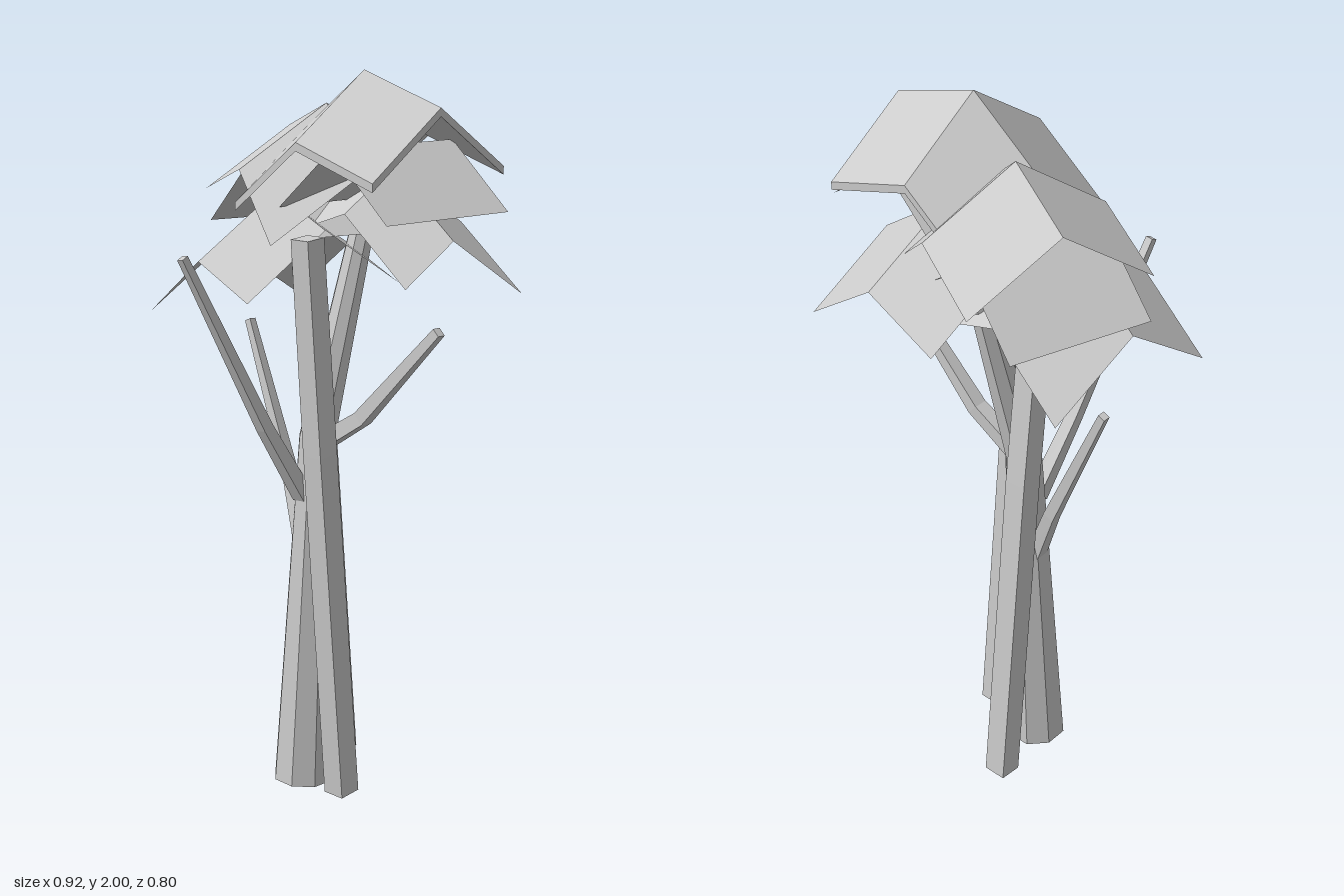
import * as THREE from 'three';

const material = new THREE.MeshStandardMaterial({ color: 0xcccccc, flatShading: true, side: THREE.DoubleSide });

function meshFrom(name, positions) {
  const geo = new THREE.BufferGeometry();
  geo.setAttribute('position', new THREE.Float32BufferAttribute(positions, 3));
  geo.computeVertexNormals();
  const mesh = new THREE.Mesh(geo, material);
  mesh.name = name;
  return mesh;
}

// pushes the quad a-b-c-d (counter-clockwise from outside)
function quad(out, a, b, c, d) {
  for (const p of [a, b, c, a, c, d]) out.push(p.x, p.y, p.z);
}

// tapered, bent prism; path points are [x, y, z, radius]
function limb(name, sides, path) {
  const up = new THREE.Vector3(0, 1, 0);
  const pts = path.map(p => new THREE.Vector3(p[0], p[1], p[2]));
  const rings = pts.map((p, i) => {
    const dir = pts[Math.min(i + 1, pts.length - 1)].clone().sub(pts[Math.max(i - 1, 0)]).normalize();
    const q = new THREE.Quaternion().setFromUnitVectors(up, dir);
    return Array.from({ length: sides }, (_, k) => {
      const a = (k + 0.5) / sides * Math.PI * 2;
      return new THREE.Vector3(Math.sin(a), 0, Math.cos(a)).multiplyScalar(path[i][3]).applyQuaternion(q).add(p);
    });
  });
  const out = [], last = rings.length - 1;
  for (let k = 0; k < sides; k++) {
    const n = (k + 1) % sides;
    for (let i = 0; i < last; i++) quad(out, rings[i][k], rings[i][n], rings[i + 1][n], rings[i + 1][k]);
    for (const p of [pts[0], rings[0][n], rings[0][k], pts[last], rings[last][k], rings[last][n]]) out.push(p.x, p.y, p.z);
  }
  return meshFrom(name, out);
}

// folded roof-like leaf: a ridge bent at its peak, with an eave on both sides
function leaf(name, { peak, yaw, left, right, half, drop, front = 1, thick = 0 }) {
  const c = Math.cos(yaw), s = Math.sin(yaw);
  const point = (u, y, v) => new THREE.Vector3(peak[0] + u * c - v * s, peak[1] + y, peak[2] + u * s + v * c);
  const along = [[-left[0], -left[1]], [0, 0], [right[0], -right[1]]];
  const layer = dy => [-1, 0, front].map(f => along.map(([u, y]) => point(u, y - drop * Math.abs(f) + dy, half * f)));
  const top = layer(0), out = [];
  const grid = (g, flip) => {
    for (let r = 0; r < 2; r++) for (let k = 0; k < 2; k++) {
      const q = [g[r][k], g[r + 1][k], g[r + 1][k + 1], g[r][k + 1]];
      quad(out, ...(flip ? q.reverse() : q));
    }
  };
  grid(top, false);
  if (thick) {
    const low = layer(-thick);
    grid(low, true);
    const rim = g => [g[0][0], g[1][0], g[2][0], g[2][1], g[2][2], g[1][2], g[0][2], g[0][1]];
    const a = rim(top), b = rim(low);
    a.forEach((p, i) => quad(out, p, b[i], b[(i + 1) % 8], a[(i + 1) % 8]));
  }
  return meshFrom(name, out);
}

export function createModel() {
  const tree = new THREE.Group();
  tree.name = 'tree';

  // main trunk and the two slim square trunks
  tree.add(
    limb('mainTrunk', 8, [[-0.1, 0.003, 0.03, 0.085], [-0.07, 1.0, 0.0, 0.052], [-0.03, 1.58, -0.14, 0.034]]),
    limb('frontTrunk', 4, [[0.066, 0.013, 0.045, 0.047], [0.063, 1.0, 0.125, 0.045], [0.058, 1.58, 0.165, 0.043]]),
    limb('backTrunk', 4, [[-0.15, 0.013, -0.178, 0.047], [-0.155, 1.0, -0.1, 0.045], [-0.158, 1.57, -0.045, 0.043]]),
  );

  // bare branches
  tree.add(
    limb('rightBranch', 4, [[-0.1, 0.64, 0.01, 0.03], [-0.19, 0.86, -0.02, 0.024], [-0.38, 1.28, -0.05, 0.015]]),
    limb('frontBranch', 4, [[-0.085, 0.84, 0.04, 0.03], [-0.11, 1.05, 0.16, 0.024], [-0.17, 1.53, 0.39, 0.015]]),
    limb('leftBranch', 4, [[-0.05, 0.99, 0.0, 0.032], [0.09, 1.08, -0.01, 0.028], [0.35, 1.35, -0.015, 0.018]]),
  );

  // canopy of folded leaves
  const size = { half: 0.25, drop: 0.165 };
  const flat = { left: [0.2, 0], right: [0.2, 0], half: 0.215, drop: 0.165 };
  const leaves = [
    { ...size, peak: [0.105, 2.0, 0.005], yaw: 0, left: [0.22, 0.17], right: [0.26, 0.08], thick: 0.022 },
    { ...size, peak: [-0.095, 1.9, -0.065], yaw: 0.4, left: [0.258, 0.08], right: [0.22, 0.17] },
    { ...size, peak: [0.1, 1.74, -0.11], yaw: 0.12, left: [0.24, 0.08], right: [0.24, 0.165], front: 0.65 },
    { ...size, peak: [-0.175, 1.67, 0.05], yaw: 0.15, left: [0.24, 0.17], right: [0.22, 0.08] },
    { ...flat, peak: [0.218, 1.82, 0.018], yaw: Math.PI / 2 + 0.138 },
    { ...flat, peak: [-0.196, 1.725, -0.106], yaw: Math.PI / 2 + 0.306 },
  ];
  leaves.forEach((spec, i) => tree.add(leaf('leaf' + (i + 1), spec)));
  return tree;
}
